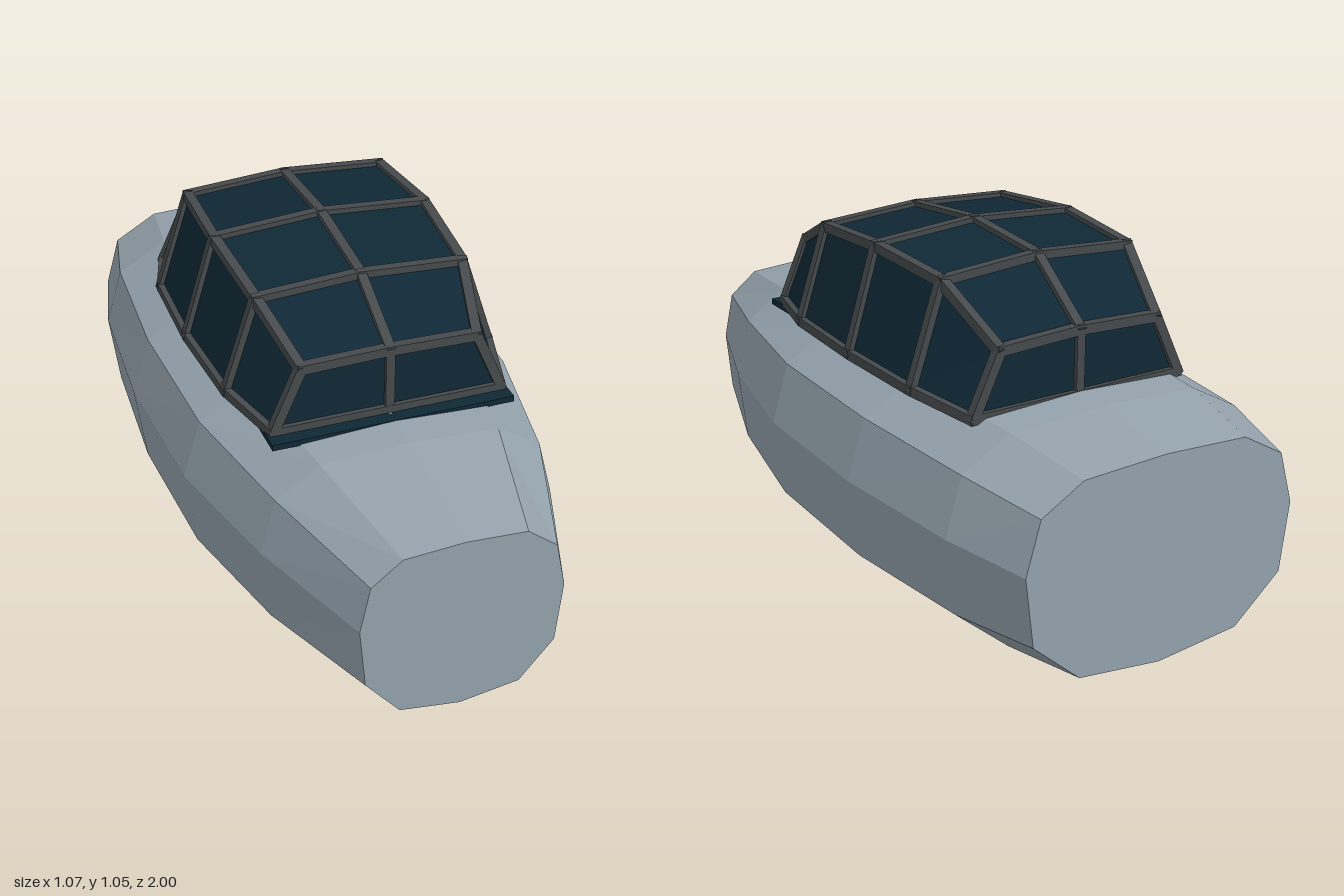
import * as THREE from 'three';

const hullGrey = new THREE.MeshStandardMaterial({ color: 0x93a1ab, flatShading: true });
hullGrey.name = 'hull grey';
const darkGlass = new THREE.MeshStandardMaterial({ color: 0x0f2835, flatShading: true });
darkGlass.name = 'dark glass';
const frameGrey = new THREE.MeshStandardMaterial({ color: 0x45494b, flatShading: true });
frameGrey.name = 'frame grey';

// Skin a row of equal rings (counter-clockwise seen from +z, ordered front to back) and cap both ends
function loft(rings) {
  const pos = [];
  const tri = (...points) => points.forEach((p) => pos.push(p.x, p.y, p.z));
  const n = rings[0].length;
  for (let s = 0; s < rings.length - 1; s++) {
    const a = rings[s], b = rings[s + 1];
    for (let i = 0; i < n; i++) {
      const j = (i + 1) % n;
      tri(a[i], b[i], b[j]);
      tri(a[i], b[j], a[j]);
    }
  }
  const front = rings[0], back = rings[rings.length - 1];
  for (let i = 1; i < n - 1; i++) {
    tri(front[0], front[i], front[i + 1]);
    tri(back[0], back[i + 1], back[i]);
  }
  const geometry = new THREE.BufferGeometry();
  geometry.setAttribute('position', new THREE.Float32BufferAttribute(pos, 3));
  geometry.computeVertexNormals();
  return geometry;
}

function addMesh(parent, name, geometry, material) {
  const mesh = new THREE.Mesh(geometry, material);
  mesh.name = name;
  parent.add(mesh);
  return mesh;
}

// Square bar between two points
function addBar(parent, name, a, b, size = 0.028) {
  const bar = addMesh(parent, name, new THREE.BoxGeometry(size, size, a.distanceTo(b) + size * 0.7), frameGrey);
  bar.position.copy(a).add(b).multiplyScalar(0.5);
  bar.lookAt(b);
}

export function createModel() {
  const model = new THREE.Group();
  model.name = 'cockpitSection';

  // Fuselage: a twelve-sided section scaled along six stations [z, half width, bottom, top]
  const half = [[0.6, 0.048], [0.94, 0.264], [1, 0.602], [0.9, 0.855], [0.6, 0.98]];
  const section = [[0, 0], ...half, [0, 1], ...half.slice().reverse().map(([x, y]) => [-x, y])];
  const stations = [
    [1, 0.29, 0.085, 0.625], [0.62, 0.43, 0.035, 0.688], [0.2, 0.52, 0.01, 0.7],
    [-0.28, 0.537, 0.004, 0.701], [-0.73, 0.5, 0.018, 0.686], [-1, 0.432, 0.043, 0.645],
  ];
  const hullRings = stations.map(([z, w, bottom, top]) =>
    section.map(([x, y]) => new THREE.Vector3(x * w, bottom + y * (top - bottom), z)));
  addMesh(model, 'fuselage', loft(hullRings), hullGrey);

  // Canopy bows: [z, sill x, sill y, shoulder x, shoulder y, ridge y]
  const canopy = new THREE.Group();
  canopy.name = 'canopy';
  model.add(canopy);
  const bows = [
    [0.457, 0.335, 0.7, 0.255, 0.882, 0.888],
    [0.235, 0.395, 0.71, 0.305, 0.985, 1.003],
    [-0.085, 0.413, 0.712, 0.322, 1.013, 1.036],
    [-0.4, 0.4, 0.705, 0.305, 0.995, 1.016],
    [-0.605, 0.337, 0.677, 0.255, 0.853, 0.864],
  ].map(([z, bx, by, tx, ty, ridge]) =>
    [[bx, by], [tx, ty], [0, ridge], [-tx, ty], [-bx, by]].map(([x, y]) => new THREE.Vector3(x, y, z)));
  addMesh(canopy, 'canopyGlass', loft(bows), darkGlass);

  // Frame bars across each bow and lengthwise between bows
  bows.forEach((bow, s) => {
    for (let i = 0; i < 4; i++) addBar(canopy, 'bowBar', bow[i], bow[i + 1]);
    if (s < bows.length - 1) {
      bow.forEach((p, i) => addBar(canopy, i % 4 ? 'roofRail' : 'sillRail', p, bows[s + 1][i]));
    }
  });

  // Sills and centre posts of the front and rear panes
  for (const bow of [bows[0], bows[bows.length - 1]]) {
    addBar(canopy, 'endSill', bow[4], bow[0]);
    const foot = new THREE.Vector3(0, bow[0].y, bow[0].z);
    addBar(canopy, 'centrePost', foot, bow[2], 0.026);
  }

  // Dark ledge below the windscreen, partly sunk in the hull
  const ledge = addMesh(canopy, 'windscreenLedge', new THREE.BoxGeometry(0.71, 0.018, 0.11), darkGlass);
  ledge.position.set(0, 0.683, 0.457);

  return model;
}
